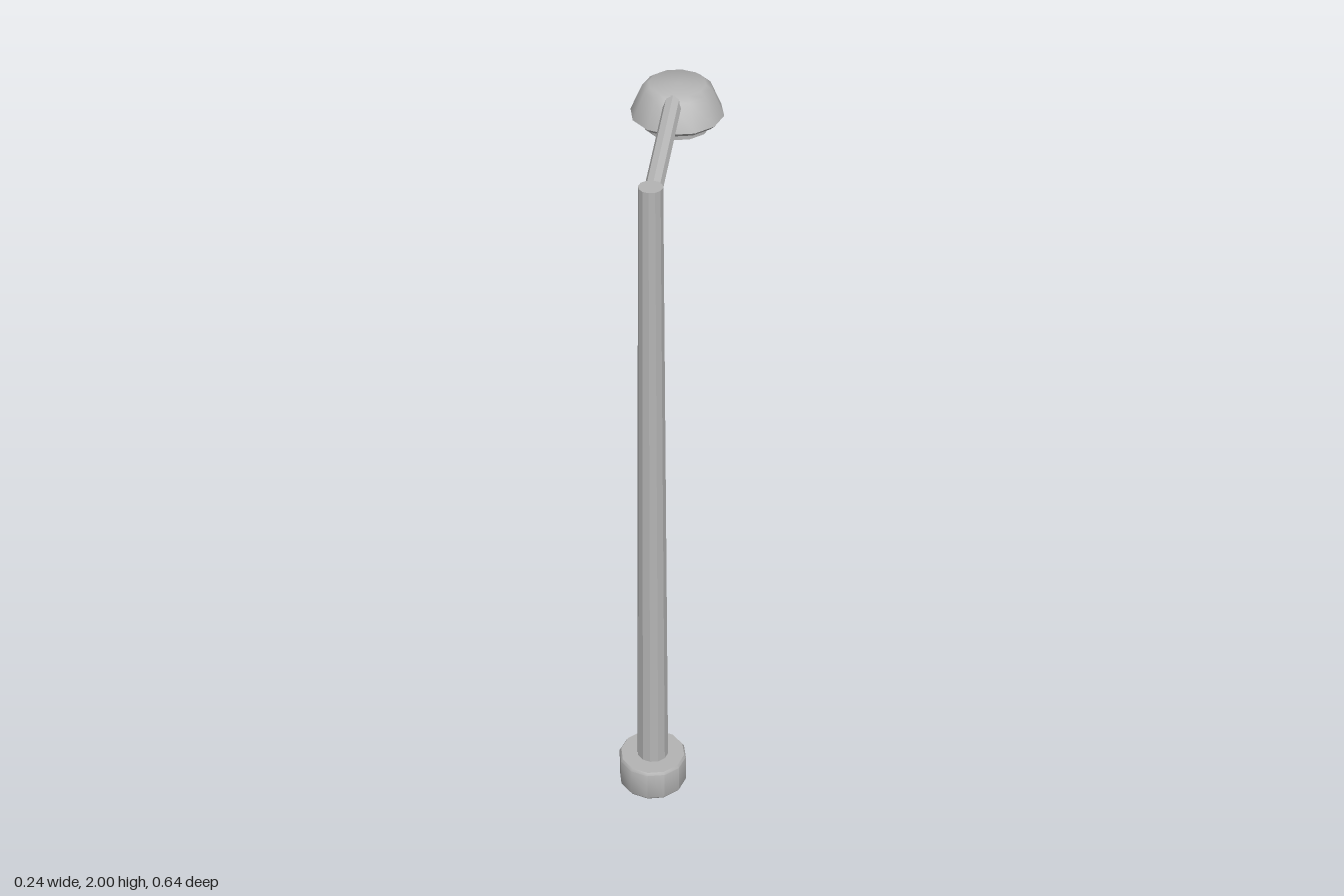
import * as THREE from 'three';
import { toCreasedNormals } from 'three/addons/utils/BufferGeometryUtils.js';

const SIDES = 12;
const POLE_Z = 0.22;
const LAMP_Z = -0.2;

export function createModel() {
  const model = new THREE.Group();
  model.name = 'streetLamp';

  const grey = new THREE.MeshStandardMaterial({ color: 0xb4b4b4 });
  grey.name = 'grey metal';

  function add(name, geometry, crease) {
    const mesh = new THREE.Mesh(toCreasedNormals(geometry, crease), grey);
    mesh.name = name;
    model.add(mesh);
    return mesh;
  }

  // Turned part; profile of [radius, height] from bottom to top
  function turned(name, profile, z) {
    const points = profile.map(([r, y]) => new THREE.Vector2(r, y));
    add(name, new THREE.LatheGeometry(points, SIDES), 0.7).position.z = z;
  }

  // Foot with softened rims
  turned('base', [
    [0, 0], [0.088, 0], [0.095, 0.009], [0.095, 0.092], [0.09, 0.1], [0, 0.1],
  ], POLE_Z);

  // Tapered pole
  const pole = add('pole', new THREE.CylinderGeometry(0.031, 0.044, 1.84, SIDES), 0.1);
  pole.position.set(0, 1.015, POLE_Z);

  // Eight-sided arm rising from the pole to the lamp
  const start = new THREE.Vector3(0, 1.899, 0.2);
  const end = new THREE.Vector3(0, 1.979, -0.134);
  const armShape = new THREE.CylinderGeometry(0.0232, 0.0232, start.distanceTo(end), 8);
  armShape.scale(1, 1, 0.9);
  const arm = add('arm', armShape, 0.1);
  arm.position.copy(start).add(end).multiplyScalar(0.5);
  arm.rotation.x = Math.atan2(end.z - start.z, end.y - start.y);

  // Domed shade
  turned('shade', [
    [0, 1.902], [0.108, 1.902], [0.121, 1.914], [0.09, 1.985], [0.074, 1.997], [0, 1.998],
  ], LAMP_Z);

  // Light disc under the shade
  turned('lightDisc', [
    [0, 1.88], [0.087, 1.88], [0.087, 1.904], [0, 1.904],
  ], LAMP_Z);

  return model;
}
